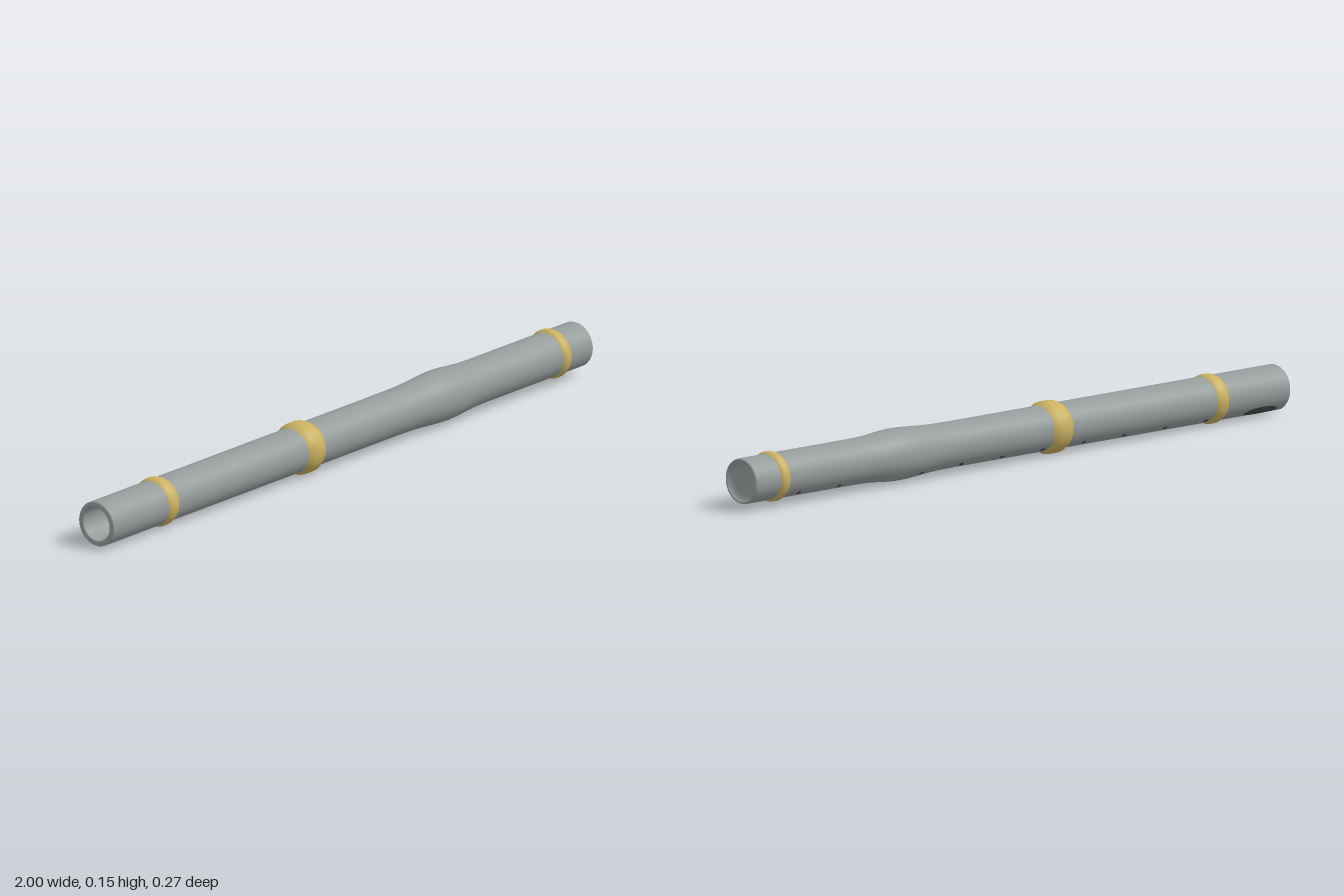
import * as THREE from 'three';

const TUBE_R = 0.0635;
const HALF = 0.997;

// Outer radius along the tube, with a soft swelling past the middle
const radiusAt = (s) => {
  const d = (s - 0.43) / (s < 0.43 ? 0.1 : 0.075);
  return TUBE_R + 0.0092 * Math.exp(-d * d);
};

const lathe = (pts) =>
  new THREE.LatheGeometry(pts.map(([r, y]) => new THREE.Vector2(r, y)), 64);

// Disc scaled to an oval and wrapped onto the tube surface
function wrappedOval(s, halfWidth, halfLength, angle) {
  const geo = new THREE.RingGeometry(0, 1, 24, 4);
  const p = geo.attributes.position;
  for (let i = 0; i < p.count; i++) {
    const y = s + p.getY(i) * halfLength;
    const r = radiusAt(y) + 0.001;
    const a = angle - (p.getX(i) * halfWidth) / r;
    p.setXYZ(i, r * Math.cos(a), y, r * Math.sin(a));
  }
  geo.computeVertexNormals();
  return geo;
}

export function createModel() {
  const grey = new THREE.MeshStandardMaterial({ color: 0x959b9b });
  grey.name = 'tubeGrey';
  const gold = new THREE.MeshStandardMaterial({ color: 0xc9b060 });
  gold.name = 'bandGold';
  const dark = new THREE.MeshStandardMaterial({ color: 0x454a4a });
  dark.name = 'holeDark';

  const pipe = new THREE.Group();
  pipe.name = 'pipe';
  const add = (name, geo, mat) => {
    const m = new THREE.Mesh(geo, mat);
    m.name = name;
    pipe.add(m);
  };

  // Outer wall
  const wall = [];
  const steps = 60;
  for (let i = 0; i <= steps; i++) {
    const s = -HALF + 0.004 + (i / steps) * (2 * HALF - 0.01);
    wall.push([radiusAt(s), s]);
  }
  add('tubeWall', lathe(wall), grey);

  // Open end: bore, then flat rim
  add('bore', lathe([[0, 0.5], [0.048, 0.49], [0.048, -HALF + 0.003]]), grey);
  add('openRim', lathe([
    [0.048, -HALF + 0.003], [0.05, -HALF], [0.061, -HALF], [TUBE_R, -HALF + 0.004],
  ]), grey);

  // Closed end: rounded lip around a shallow dish
  add('endCap', lathe([
    [TUBE_R, HALF - 0.006], [0.062, HALF - 0.001], [0.059, HALF],
    [0.056, HALF - 0.003], [0.052, HALF - 0.01], [0.04, HALF - 0.013], [0, HALF - 0.014],
  ]), grey);

  // Bevelled bands: position, half width, radius
  const bands = [
    ['endBand', -0.745, 0.021, 0.0692],
    ['middleBand', -0.15, 0.035, 0.0735],
    ['capBand', 0.888, 0.017, 0.0695],
  ];
  for (const [name, s, w, r] of bands) {
    add(name, lathe([
      [TUBE_R - 0.002, s - w], [TUBE_R + 0.001, s - w], [r - 0.001, s - w * 0.55],
      [r, s - w * 0.35], [r, s + w * 0.35],
      [r - 0.001, s + w * 0.55], [TUBE_R + 0.001, s + w], [TUBE_R - 0.002, s + w],
    ]), gold);
  }

  // Slot and row of small holes along the lower back
  const holeAngle = Math.atan2(-0.69, 0.72);
  add('slot', wrappedOval(-0.903, 0.019, 0.062, holeAngle), dark);
  for (let i = 0; i < 11; i++) {
    if (i === 2) continue;
    add('fingerHole', wrappedOval(0.82 - i * 0.152, 0.007, 0.008, holeAngle), dark);
  }

  // Lay the pipe along its slightly skewed axis
  const axis = new THREE.Vector3(2, 0.0135, -0.143).normalize();
  pipe.quaternion.setFromUnitVectors(new THREE.Vector3(0, 1, 0), axis);
  pipe.position.y = 0.0755;

  const model = new THREE.Group();
  model.name = 'model';
  model.add(pipe);
  return model;
}
